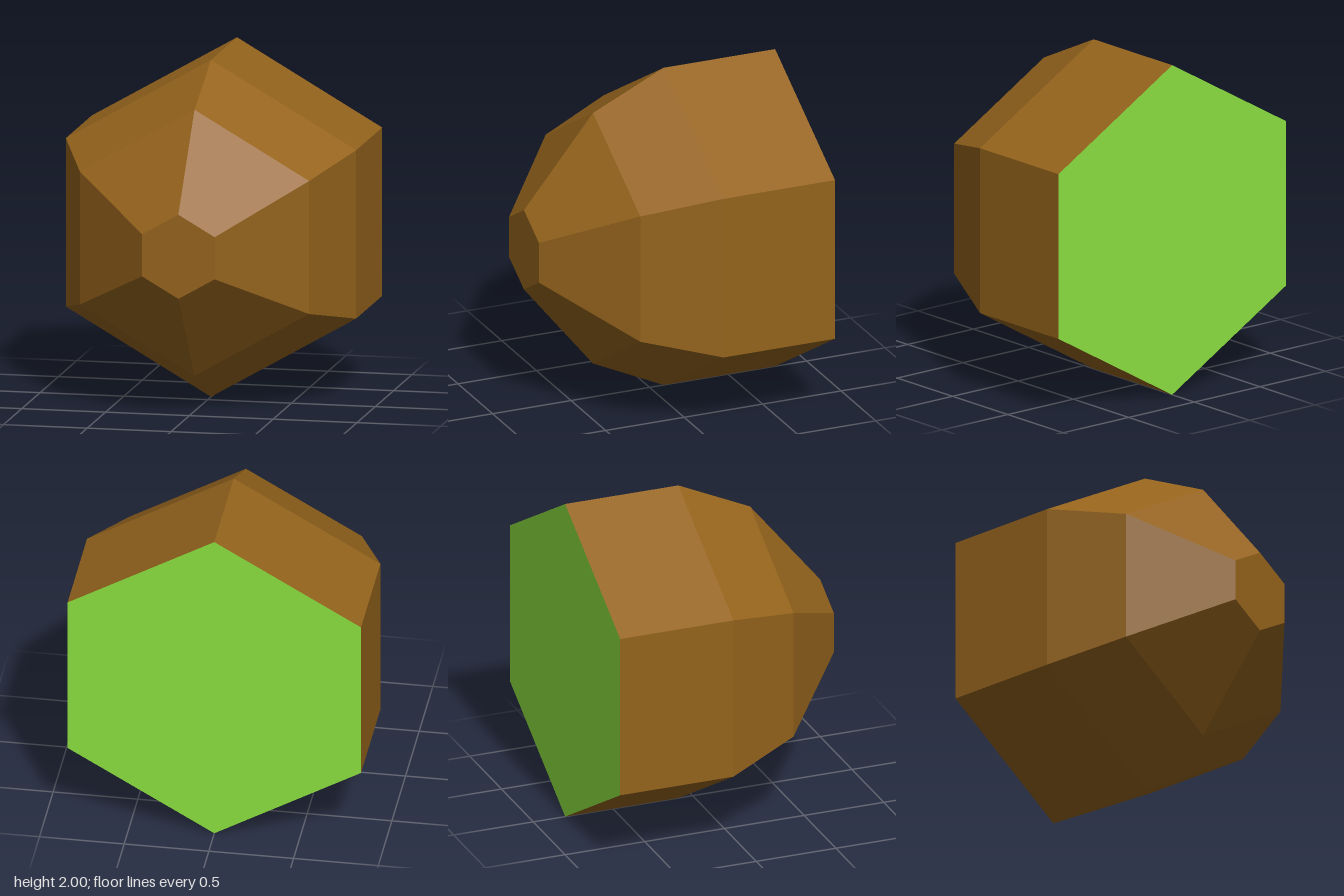
import * as THREE from 'three';

const BACK = -0.8;

export function createModel() {
  const model = new THREE.Group();
  model.name = 'hexTile';

  const earth = new THREE.MeshStandardMaterial({ color: 0x94631c, flatShading: true });
  earth.name = 'earth brown';
  const grass = new THREE.MeshStandardMaterial({ color: 0x8ce040, flatShading: true });
  grass.name = 'grass green';

  const add = (name, geometry, material) => {
    const mesh = new THREE.Mesh(geometry, material);
    mesh.name = name;
    model.add(mesh);
  };

  // Six-sided tapering body, turned so its axis runs along z and a corner points up
  const profile = [[1, BACK], [1, -0.09], [0.79, 0.36], [0.25, 0.8], [0, 0.8]]
    .map(([radius, z]) => new THREE.Vector2(radius, z));
  const body = new THREE.LatheGeometry(profile, 6).rotateX(Math.PI / 2).translate(0, 1, 0);
  add('earthBody', body, earth);

  // Flat grass face closing the wide end
  const face = new THREE.CircleGeometry(1, 6, Math.PI / 2).rotateY(Math.PI).translate(0, 1, BACK);
  add('grassFace', face, grass);

  return model;
}
